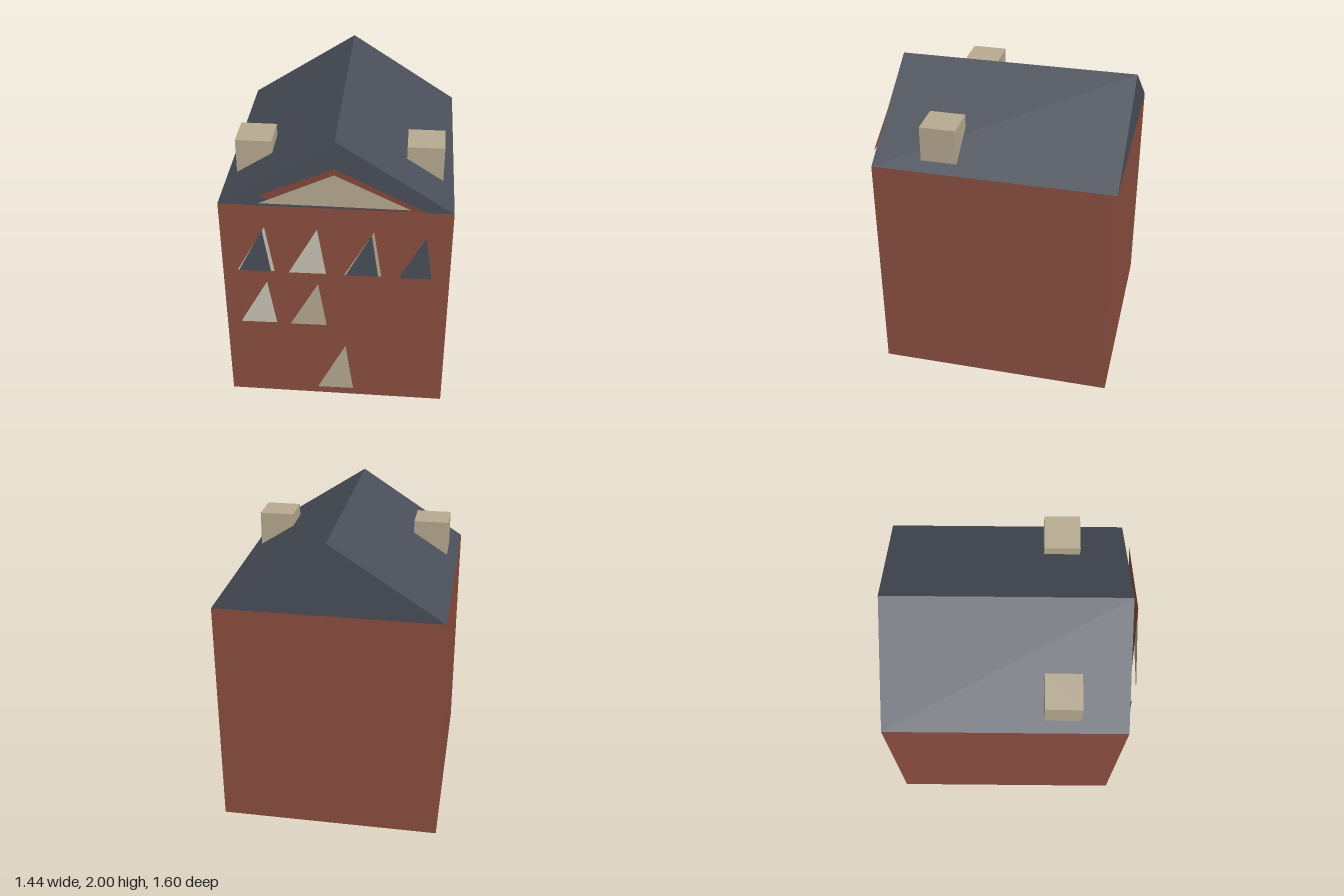
import * as THREE from 'three';

const material = (name, color, side = THREE.FrontSide) => {
  const m = new THREE.MeshStandardMaterial({ color, side });
  m.name = name;
  return m;
};

export function createModel() {
  const house = new THREE.Group();
  house.name = 'house';

  const brick = material('brick red', 0x8d4f41, THREE.DoubleSide);
  const slate = material('slate', 0x4a4f5a, THREE.DoubleSide);
  const stone = material('sandstone', 0xb8ab92, THREE.DoubleSide);
  const cream = material('cream', 0xcbc6ba, THREE.DoubleSide);

  const add = (name, geometry, mat, x = 0, y = 0, z = 0) => {
    const mesh = new THREE.Mesh(geometry, mat);
    mesh.name = name;
    mesh.position.set(x, y, z);
    house.add(mesh);
  };

  // Single triangular face: three corners, counter-clockwise from the front
  const triangle = (name, mat, ...corners) => {
    const g = new THREE.BufferGeometry();
    g.setAttribute('position', new THREE.Float32BufferAttribute(corners.flat(), 3));
    g.computeVertexNormals();
    add(name, g, mat);
  };

  const W = 0.72, WALL = 1.535, BACK = -0.8, FRONT = 0.745;
  const depth = FRONT - BACK;

  // Walls
  add('walls', new THREE.BoxGeometry(2 * W, WALL, depth), brick, 0, WALL / 2, (FRONT + BACK) / 2);

  // Gabled roof
  const gable = new THREE.Shape([
    new THREE.Vector2(-W, WALL), new THREE.Vector2(W, WALL), new THREE.Vector2(0, 2),
  ]);
  add('roof', new THREE.ExtrudeGeometry(gable, { depth, bevelEnabled: false }), slate, 0, 0, BACK);

  // Chimneys
  for (const [side, name] of [[1, 'leftChimney'], [-1, 'rightChimney']]) {
    add(name, new THREE.BoxGeometry(0.23, 0.23, 0.23), stone, side * 0.535, 1.695, 0.327);
  }

  // Pediment: a leaning backing, partly sunk in the gable, and its panel
  triangle('pedimentBacking', brick, [-0.56, 1.56, 0.736], [0.56, 1.56, 0.784], [0, 1.84, 0.788]);
  triangle('pedimentPanel', stone, [-0.46, 1.58, 0.79], [0.46, 1.58, 0.79], [0, 1.8, 0.791]);

  // Leaning triangular plates: left edge, base height, width, height, depth
  const plate = (name, mat, x, y, w, h, z) => triangle(name, mat,
    [x, y, z], [x + w, y, z - 0.004], [x + w * 0.785, y + h, z + 0.003]);

  const columns = [-0.622, -0.295, 0.055, 0.388];
  [[0, cream], [1, cream], [2, stone]].forEach(([i, mat]) =>
    plate('upperWindowFrame', mat, columns[i], 1.05, 0.237, 0.343, 0.766));
  [0, 2, 3].forEach((i) =>
    plate('upperWindowPane', slate, columns[i] + 0.014, 1.064, 0.203, 0.318, 0.785));
  [[0, cream], [1, stone]].forEach(([i, mat]) =>
    plate('lowerWindow', mat, columns[i], 0.63, 0.237, 0.343, 0.77));

  // Door
  plate('door', stone, -0.12, 0.1, 0.24, 0.386, 0.795);

  return house;
}
